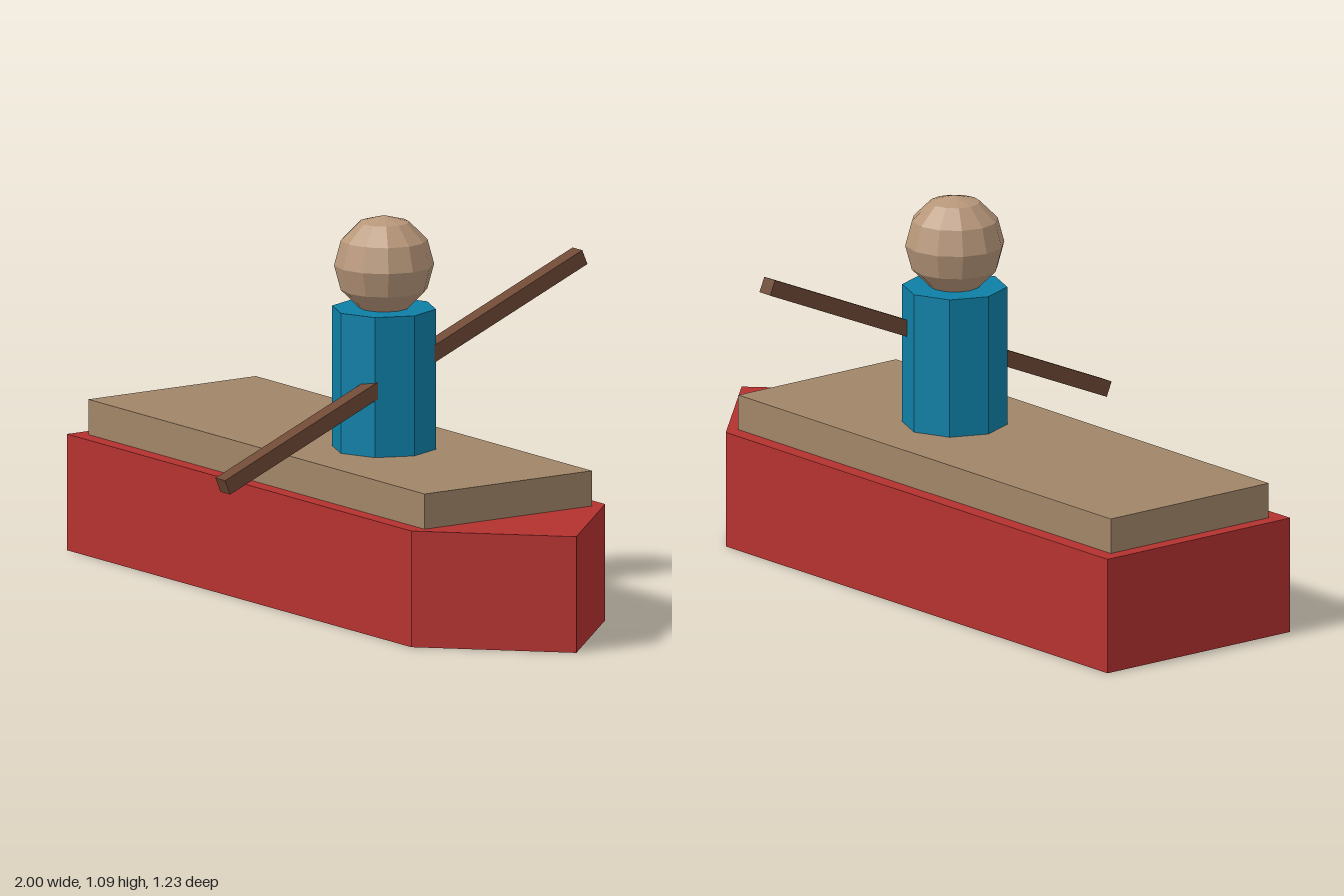
import * as THREE from 'three';

function part(name, geometry, color, x, y, z = 0) {
  const material = new THREE.MeshStandardMaterial({ color, flatShading: true });
  const mesh = new THREE.Mesh(geometry, material);
  mesh.name = name;
  mesh.position.set(x, y, z);
  return mesh;
}

export function createModel() {
  const boat = new THREE.Group();
  boat.name = 'rowingBoat';

  // Hull: plan outline with a pointed bow, extruded upward
  const outline = new THREE.Shape([
    [-1, -0.33], [0.67, -0.33], [1, 0], [0.67, 0.33], [-1, 0.33],
  ].map(([x, y]) => new THREE.Vector2(x, y)));
  const hull = new THREE.ExtrudeGeometry(outline, { depth: 0.33, bevelEnabled: false });
  hull.rotateX(-Math.PI / 2);
  boat.add(part('hull', hull, 0xb43230, 0, 0));

  // Raised deck
  boat.add(part('deck', new THREE.BoxGeometry(1.63, 0.1, 0.57), 0xa08567, -0.145, 0.38));

  // Rower
  const rower = new THREE.Group();
  rower.name = 'rower';
  rower.add(part('torso', new THREE.CylinderGeometry(0.147, 0.147, 0.4, 8), 0x0f7fa6, 0.068, 0.628));
  rower.add(part('head', new THREE.SphereGeometry(0.14, 12, 6), 0xb8977a, 0.068, 0.95));
  boat.add(rower);

  // Paddle, slanting across the torso and low on the front side
  const paddle = part('paddle', new THREE.BoxGeometry(0.047, 0.045, 1.32), 0x6f4a36, 0.152, 0.661);
  paddle.rotation.x = 0.4;
  boat.add(paddle);

  return boat;
}
